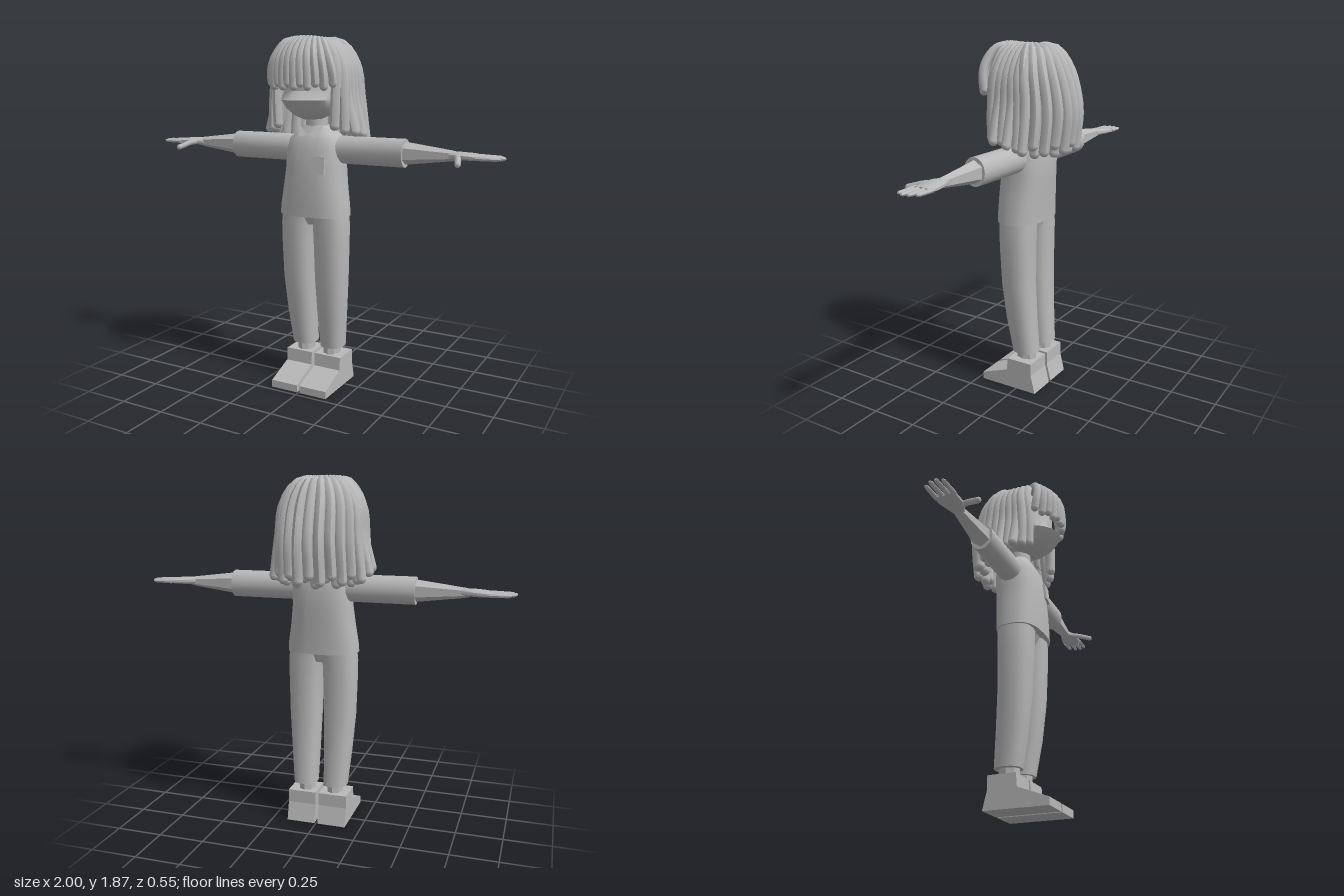
import * as THREE from 'three';
import { toCreasedNormals } from 'three/addons/utils/BufferGeometryUtils.js';

const grey = new THREE.MeshStandardMaterial({ color: 0xb8b8b8, side: THREE.DoubleSide });
grey.name = 'plain grey';

function add(parent, name, geometry) {
  const mesh = new THREE.Mesh(geometry, grey);
  mesh.name = name;
  parent.add(mesh);
  return mesh;
}

function addGroup(parent, name) {
  const g = new THREE.Group();
  g.name = name;
  parent.add(g);
  return g;
}

// Capped skin over rounded sections along 'x' or 'y'.
// Each row: [position, aMin, aMax, zMin, zMax]; a is x (axis y) or y (axis x).
function loft(axis, rows, sides, crease = 0.8, power = 1) {
  const pos = [], idx = [];
  const put = (p, a, z) => (axis === 'y' ? pos.push(a, p, z) : pos.push(p, a, z));
  const bend = (v) => Math.sign(v) * Math.abs(v) ** power;
  for (const [p, a0, a1, z0, z1] of rows) {
    for (let i = 0; i < sides; i++) {
      const t = (i / sides) * Math.PI * 2;
      put(p, (a0 + a1) / 2 + ((a1 - a0) / 2) * bend(Math.cos(t)),
        (z0 + z1) / 2 + ((z1 - z0) / 2) * bend(Math.sin(t)));
    }
  }
  const last = rows.length - 1;
  const flip = (axis === 'y') !== (rows[last][0] > rows[0][0]);
  const tri = (a, b, c) => (flip ? idx.push(a, c, b) : idx.push(a, b, c));
  for (let r = 0; r < last; r++) {
    for (let i = 0; i < sides; i++) {
      const a = r * sides + i, b = r * sides + ((i + 1) % sides);
      tri(a, a + sides, b);
      tri(b, a + sides, b + sides);
    }
  }
  [0, last].forEach((r) => {
    const [p, a0, a1, z0, z1] = rows[r];
    const c = pos.length / 3;
    put(p, (a0 + a1) / 2, (z0 + z1) / 2);
    for (let i = 0; i < sides; i++) {
      const a = r * sides + i, b = r * sides + ((i + 1) % sides);
      if (r === 0) tri(c, a, b); else tri(c, b, a);
    }
  });
  const g = new THREE.BufferGeometry();
  g.setAttribute('position', new THREE.Float32BufferAttribute(pos, 3));
  g.setIndex(idx);
  return toCreasedNormals(g, crease);
}

// Round lock of hair: thin at the root, rounded at the tip
function strand(parent, points, radius) {
  const curve = new THREE.CatmullRomCurve3(points.map((p) => new THREE.Vector3(...p)));
  const steps = 14, sides = 8;
  const g = new THREE.TubeGeometry(curve, steps, radius, sides);
  const p = g.attributes.position, v = new THREE.Vector3();
  for (let i = 0; i < p.count; i++) {
    const t = Math.floor(i / (sides + 1)) / steps;
    const c = curve.getPointAt(t);
    v.fromBufferAttribute(p, i).sub(c).multiplyScalar(Math.min(1, 0.6 + t * 1.6)).add(c);
    p.setXYZ(i, v.x, v.y, v.z);
  }
  g.computeVertexNormals();
  add(parent, 'lock', g);
  add(parent, 'lockTip', new THREE.SphereGeometry(radius, 8, 6)).position.set(...points[points.length - 1]);
}

function buildHair(parent) {
  const hair = addGroup(parent, 'hair');
  // Fringe over the face
  for (let i = -5; i <= 5; i++) {
    const u = i / 5, q = u * u;
    strand(hair, [
      [0.06 * u, 1.835, 0.07], [0.1 * u, 1.853 - 0.01 * q, 0.15 - 0.01 * q],
      [0.155 * u, 1.78 - 0.02 * q, 0.238 - 0.06 * q],
      [0.175 * u, 1.69, 0.253 - 0.075 * q], [0.175 * u, 1.625 + 0.015 * (i & 1), 0.25 - 0.08 * q],
    ], 0.022);
  }
  // Side locks from the parting
  for (const s of [1, -1]) {
    const ends = [[0.165, 1.43, 0.13], [0.21, 1.41, 0.105], [0.25, 1.4, 0.07],
      [0.235, 1.4, 0.03], [0.255, 1.385, -0.01], [0.225, 1.37, -0.05], [0.235, 1.36, -0.09]];
    ends.forEach(([x, y, z], k) => {
      const root = 0.1 - k * 0.026;
      strand(hair, [
        [0, 1.84, root], [s * 0.09, 1.842, root],
        [s * (k ? 0.185 : 0.165), 1.73, (root + z) / 2],
        [s * (k ? 0.205 : 0.17), 1.57, z], [s * x, y, z],
      ], 0.026);
    });
  }
  // Back locks in an outer and an inner layer
  for (const [count, size, drop] of [[11, 1, 0], [10, 0.84, 0.015]]) {
    for (let i = 0; i < count; i++) {
      const a = (i / (count - 1) - 0.5) * 2.7;
      const x = Math.sin(a) * size, z = -Math.cos(a) * size;
      strand(hair, [
        [0, 1.835, 0.01], [0.1 * x, 1.843, -0.01 + 0.1 * z],
        [0.18 * x, 1.75, -0.03 + 0.155 * z], [0.205 * x, 1.55, -0.035 + 0.21 * z],
        [0.215 * x, 1.355 + 0.03 * (i % 2) - drop, -0.03 + 0.2 * z],
      ], 0.028);
    }
  }
}

function buildArm(parent, s) {
  const arm = addGroup(parent, s > 0 ? 'leftArm' : 'rightArm');
  const along = (rows) => rows.map(([x, ...rest]) => [s * x, ...rest]);
  add(arm, 'sleeve', loft('x', along([
    [0.08, 1.23, 1.36, -0.06, 0.075], [0.17, 1.225, 1.37, -0.06, 0.075],
    [0.5, 1.225, 1.37, -0.052, 0.07]]), 16));
  add(arm, 'forearm', loft('x', along([
    [0.48, 1.238, 1.358, -0.045, 0.063], [0.74, 1.272, 1.325, -0.02, 0.035],
    [0.77, 1.278, 1.32, -0.02, 0.04]]), 6, 0.1));
  add(arm, 'palm', loft('x', along([
    [0.73, 1.278, 1.32, -0.02, 0.035], [0.78, 1.28, 1.322, -0.038, 0.06],
    [0.84, 1.28, 1.318, -0.052, 0.062], [0.89, 1.286, 1.31, -0.05, 0.062]]), 10));
  [[-0.041, 0.975], [-0.008, 0.995], [0.023, 1.0], [0.052, 0.985]].forEach(([z, tip]) =>
    add(arm, 'finger', loft('x', along([
      [0.87, 1.286, 1.31, z - 0.013, z + 0.013], [tip - 0.012, 1.288, 1.307, z - 0.011, z + 0.011],
      [tip, 1.293, 1.303, z - 0.006, z + 0.006]]), 8)));
  const thumb = new THREE.CatmullRomCurve3([[0.765, 1.3, 0.025], [0.79, 1.295, 0.075],
    [0.8, 1.285, 0.11], [0.812, 1.275, 0.145]].map(([x, y, z]) => new THREE.Vector3(s * x, y, z)));
  add(arm, 'thumb', new THREE.TubeGeometry(thumb, 6, 0.015, 8));
  const tip = add(arm, 'thumbTip', new THREE.SphereGeometry(0.015, 8, 6));
  tip.position.set(s * 0.812, 1.275, 0.145);
}

function buildLeg(parent, s) {
  const leg = addGroup(parent, s > 0 ? 'leftLeg' : 'rightLeg');
  const side = (rows) => rows.map(([y, i, o, b, f]) => [y, Math.min(s * i, s * o), Math.max(s * i, s * o), b, f]);
  add(leg, 'trouserLeg', loft('y', side([
    [0.21, 0.02, 0.15, -0.09, 0.052], [0.4, 0.016, 0.167, -0.077, 0.085],
    [0.6, 0.01, 0.182, -0.067, 0.107], [0.8, 0.006, 0.187, -0.068, 0.117],
    [0.9, 0.002, 0.188, -0.07, 0.12], [0.98, -0.01, 0.18, -0.07, 0.12]]), 20, 0.8, 0.8));
  add(leg, 'ankle', loft('y', side([
    [0.15, 0.035, 0.125, -0.075, 0.04], [0.23, 0.035, 0.125, -0.075, 0.04]]), 8, 0.1));
  // Wedge shoe: profile drawn as (z, y), then turned to face forward
  const outline = [[-0.12, 0], [0.222, 0], [0.222, 0.04], [0.06, 0.1], [0.055, 0.17],
    [-0.095, 0.17], [-0.095, 0.1]].map(([z, y]) => new THREE.Vector2(z, y));
  const shoe = new THREE.ExtrudeGeometry(new THREE.Shape(outline), { depth: 0.156, bevelEnabled: false });
  shoe.rotateY(-Math.PI / 2);
  shoe.translate(s * 0.087 + 0.078, 0, 0);
  add(leg, 'shoe', shoe);
}

export function createModel() {
  const model = new THREE.Group();
  model.name = 'figure';
  const wide = (rows) => rows.map(([y, w, b, f]) => [y, -w, w, b, f]);

  // Shirt, neck and trouser seat
  add(model, 'shirt', loft('y', wide([
    [0.95, 0.192, -0.09, 0.147], [1.0, 0.188, -0.092, 0.147], [1.1, 0.172, -0.1, 0.145],
    [1.2, 0.16, -0.107, 0.138], [1.3, 0.158, -0.11, 0.125], [1.355, 0.145, -0.1, 0.105],
    [1.38, 0.11, -0.09, 0.09], [1.42, 0.07, -0.065, 0.065]]), 28, 0.8, 0.75));
  add(model, 'seat', loft('y', wide([
    [0.9, 0.05, -0.05, 0.09], [0.97, 0.17, -0.07, 0.12]]), 16));
  add(model, 'neck', new THREE.CylinderGeometry(0.055, 0.06, 0.16, 12)).position.set(0, 1.43, 0.01);

  // Collar points and chest pocket
  for (const s of [1, -1]) {
    const g = new THREE.BufferGeometry();
    g.setAttribute('position', new THREE.Float32BufferAttribute(
      [0, 1.375, 0.115, s * 0.05, 1.365, 0.122, s * 0.07, 1.425, 0.07], 3));
    g.setIndex(s > 0 ? [0, 1, 2] : [0, 2, 1]);
    g.computeVertexNormals();
    add(model, 'collar', g);
  }
  const pocket = add(model, 'pocket', new THREE.BoxGeometry(0.076, 0.09, 0.018));
  pocket.position.set(0.07, 1.225, 0.133);
  pocket.rotation.set(-0.1, 0.12, 0);

  // Head with a jutting muzzle, and ears
  add(model, 'head', loft('y', wide([
    [1.455, 0.045, -0.02, 0.12], [1.475, 0.09, -0.05, 0.165], [1.51, 0.13, -0.08, 0.205],
    [1.555, 0.15, -0.1, 0.243], [1.6, 0.152, -0.11, 0.195], [1.7, 0.16, -0.13, 0.195],
    [1.78, 0.135, -0.1, 0.165], [1.83, 0.08, -0.05, 0.11]]), 24));
  for (const s of [1, -1]) {
    const ear = add(model, 'ear', new THREE.SphereGeometry(1, 12, 8));
    ear.scale.set(0.02, 0.045, 0.03);
    ear.position.set(s * 0.17, 1.64, 0.04);
    buildArm(model, s);
    buildLeg(model, s);
  }
  buildHair(model);
  return model;
}
